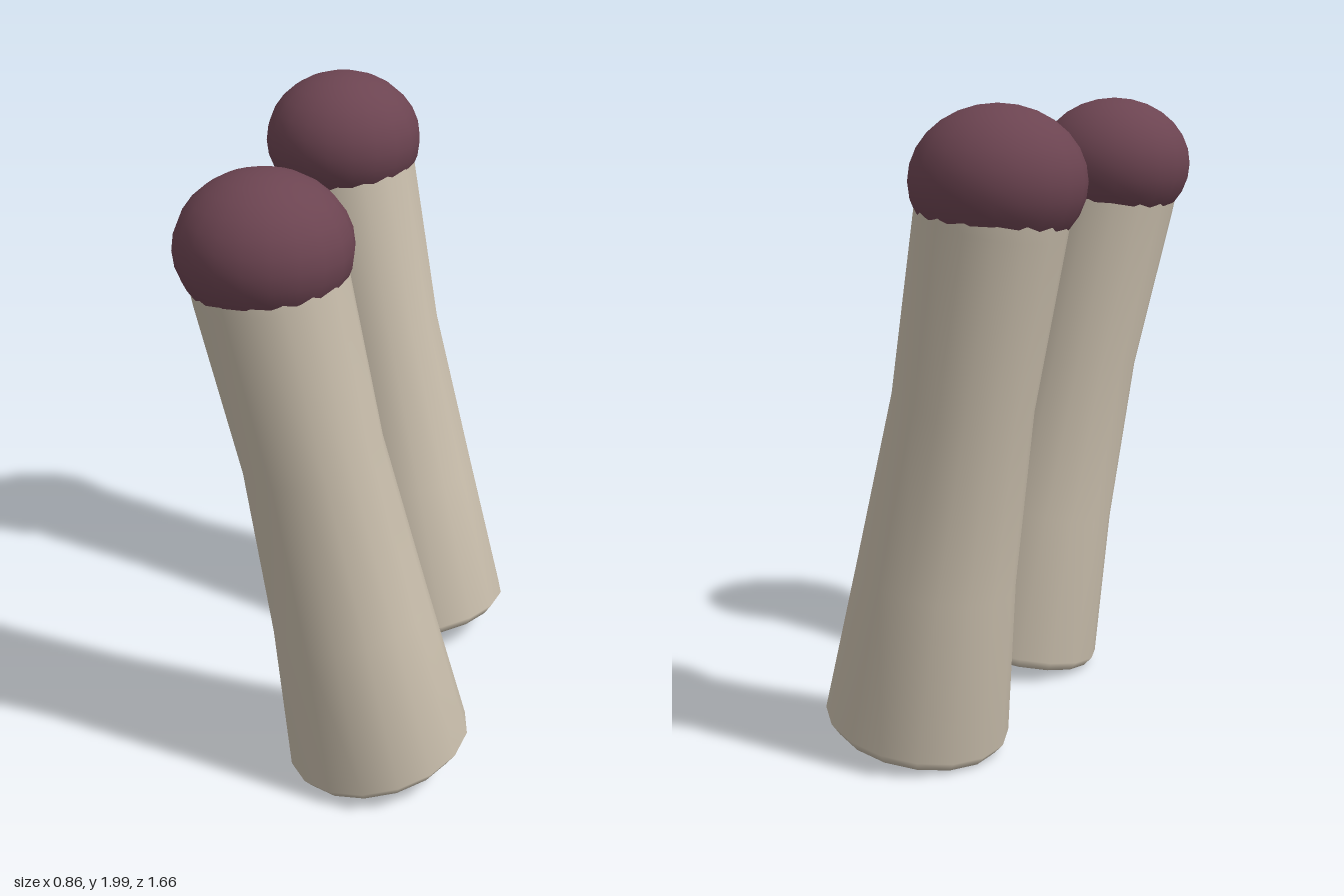
import * as THREE from 'three';
import { mergeVertices } from 'three/addons/utils/BufferGeometryUtils.js';

// Stalk rings from the base up: centre x, y, z and radius
const RINGS = [
  [0.145, 0.050, 0.453, 0],
  [0.145, 0.050, 0.453, 0.20],
  [0.144, 0.064, 0.454, 0.257],
  [0.143, 0.098, 0.455, 0.284],
  [0.060, 0.585, 0.4925, 0.242],
  [-0.045, 1.125, 0.530, 0.211],
  [-0.150, 1.660, 0.574, 0.223],
  [-0.165, 1.740, 0.577, 0.224],
];

// Leaning stalk: a lathe whose rings are shifted and tilted along the bent axis
function stalkGeometry(side) {
  const profile = RINGS.map(([, y, , r]) => new THREE.Vector2(r, y));
  const geo = new THREE.LatheGeometry(profile, 16);
  const pos = geo.attributes.position;
  for (let i = 0; i < pos.count; i++) {
    const [cx, cy, cz] = RINGS[i % RINGS.length];
    const dx = pos.getX(i), dz = pos.getZ(i);
    pos.setXYZ(i, cx + dx, cy + 0.19 * dx - 0.08 * side * dz, side * cz + dz);
  }
  // Weld the seam so the shading stays smooth
  geo.deleteAttribute('uv');
  geo.deleteAttribute('normal');
  const welded = mergeVertices(geo, 1e-4);
  welded.computeVertexNormals();
  return welded;
}

export function createModel() {
  const model = new THREE.Group();
  const stalkMat = new THREE.MeshStandardMaterial({ color: 0xc9beac });
  stalkMat.name = 'pale beige';
  const capMat = new THREE.MeshStandardMaterial({ color: 0x6c4451 });
  capMat.name = 'dark plum';

  // Mirrored pair, one on each side in z
  for (const side of [1, -1]) {
    const pair = new THREE.Group();
    pair.name = side > 0 ? 'frontStalk' : 'backStalk';

    const stalk = new THREE.Mesh(stalkGeometry(side), stalkMat);
    stalk.name = 'stalk';

    // Slightly flattened ball on top
    const ball = new THREE.Mesh(new THREE.SphereGeometry(1, 20, 14), capMat);
    ball.name = 'ballTip';
    ball.scale.set(0.259, 0.222, 0.259);
    ball.position.set(-0.17, 1.778, side * 0.572);

    pair.add(stalk, ball);
    model.add(pair);
  }
  return model;
}
